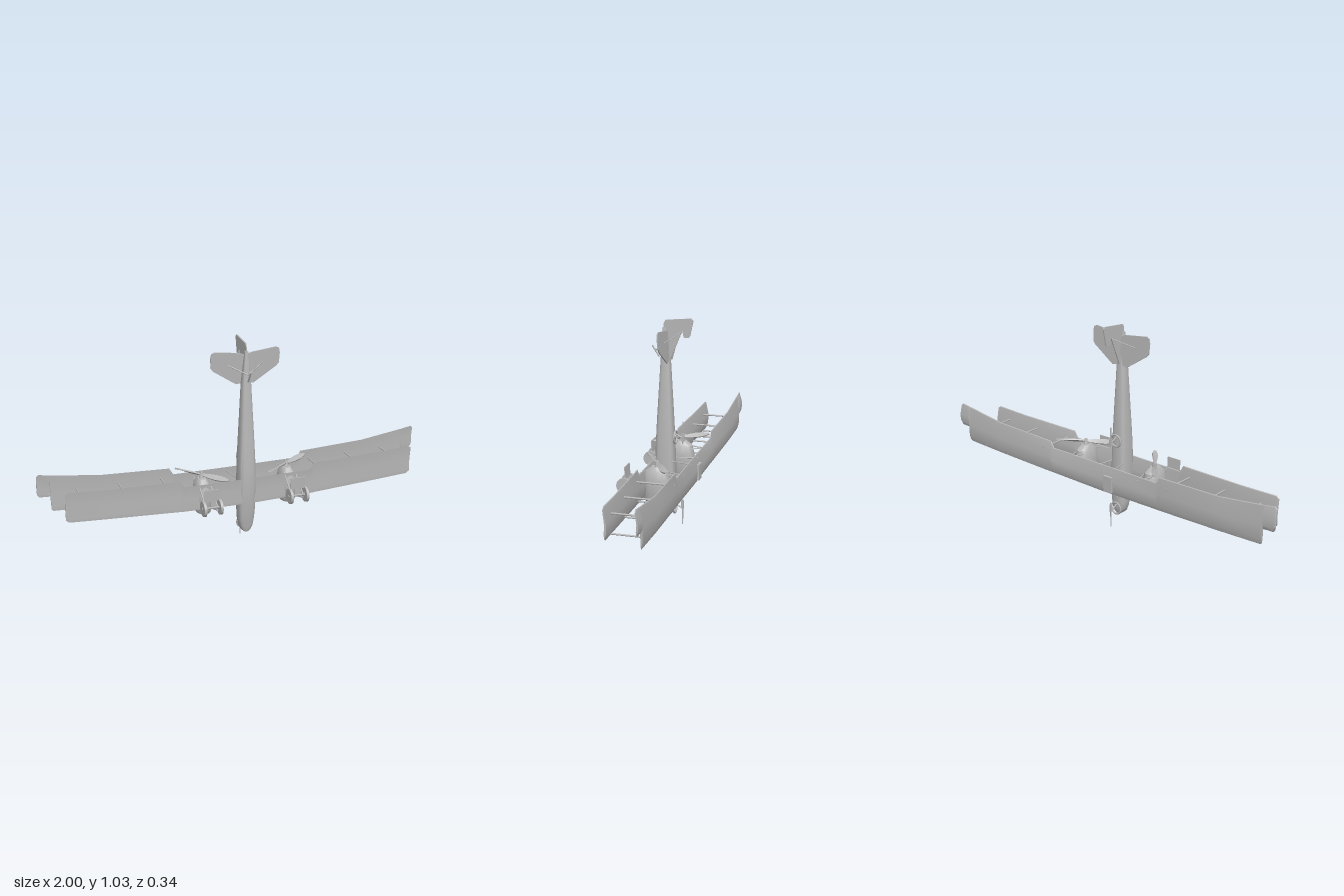
import * as THREE from 'three';
import { toCreasedNormals, mergeVertices } from 'three/addons/utils/BufferGeometryUtils.js';

const V = (x, y, z) => new THREE.Vector3(x, y, z);

// Skin a list of closed rings (clockwise seen from the end of the list), with capped ends
function loft(rings, crease = 0.6) {
  const n = rings[0].length, pos = [], idx = [];
  rings.forEach(r => r.forEach(p => pos.push(p.x, p.y, p.z)));
  for (let i = 0; i < rings.length - 1; i++) for (let j = 0; j < n; j++) {
    const a = i * n + j, b = i * n + (j + 1) % n;
    idx.push(a, a + n, b, b, a + n, b + n);
  }
  [0, rings.length - 1].forEach((i, end) => {
    const c = rings[i].reduce((s, p) => s.add(p), V(0, 0, 0)).divideScalar(n);
    const ci = pos.length / 3;
    pos.push(c.x, c.y, c.z);
    for (let j = 0; j < n; j++) {
      const a = i * n + j, b = i * n + (j + 1) % n;
      if (end) idx.push(ci, b, a); else idx.push(ci, a, b);
    }
  });
  const g = new THREE.BufferGeometry();
  g.setAttribute('position', new THREE.Float32BufferAttribute(pos, 3));
  g.setIndex(idx);
  return toCreasedNormals(g, crease);
}

// Body along y from sections [y, halfWidth, zBelly, zBack]; power below 1 squares the section
function body(sections, power, n = 20) {
  const s = (v) => Math.sign(v) * Math.abs(v) ** power;
  return loft(sections.map(([y, w, z0, z1]) => Array.from({ length: n }, (_, j) => {
    const t = j / n * Math.PI * 2;
    return V(w * s(Math.cos(t)), y, (z0 + z1) / 2 + (z0 - z1) / 2 * s(Math.sin(t)));
  })));
}

// Full-span wing from half-span ribs [x, yLeading, yTrailing, z]
function wing(ribs) {
  const foil = [[0, 0], [0.12, 0.002], [0.5, -0.001], [1, 0.007], [0.98, 0.004], [0.5, -0.009], [0.15, -0.008]];
  const all = [...ribs].reverse().map(([x, ...r]) => [-x, ...r]).concat(ribs);
  return loft(all.map(([x, a, b, z]) => foil.map(([u, h]) => V(x, a + (b - a) * u, z + h))), 0.5);
}

// Thin plate cut from an outline
function plate(points, t) {
  const shape = new THREE.Shape(points.map(p => new THREE.Vector2(...p)));
  return new THREE.ExtrudeGeometry(shape, { depth: t, bevelEnabled: false }).translate(0, 0, -t / 2);
}

export function createModel() {
  const root = new THREE.Group();
  const grey = new THREE.MeshStandardMaterial({ color: 0xb8b8b8 });
  grey.name = 'plain grey';

  const add = (name, geo, x = 0, y = 0, z = 0, parent = root) => {
    const m = new THREE.Mesh(geo, grey);
    m.name = name;
    m.position.set(x, y, z);
    parent.add(m);
    return m;
  };
  const strut = (name, a, b, r = 0.003) => {
    const p = V(...a), q = V(...b), d = q.clone().sub(p);
    const m = add(name, new THREE.CylinderGeometry(r, r, d.length(), 6));
    m.position.copy(p.add(q).multiplyScalar(0.5));
    m.quaternion.setFromUnitVectors(V(0, 1, 0), d.normalize());
    return m;
  };

  // Fuselage, nose down
  add('fuselage', body([
    [0.058, 0.012, 0.011, -0.036], [0.068, 0.024, 0.014, -0.041], [0.09, 0.034, 0.018, -0.045],
    [0.13, 0.04, 0.026, -0.048], [0.19, 0.043, 0.035, -0.05], [0.31, 0.043, 0.047, -0.05],
    [0.42, 0.042, 0.044, -0.046], [0.53, 0.037, 0.039, -0.041], [0.83, 0.023, 0.022, -0.025],
    [0.99, 0.008, 0.013, -0.005]], 0.55));
  add('windscreen', new THREE.BoxGeometry(0.05, 0.006, 0.02), 0, 0.165, -0.055).rotation.x = 0.4;
  add('headFairing', new THREE.SphereGeometry(0.022, 12, 8).scale(0.9, 1, 0.8), 0, 0.195, -0.045);

  // Gun rings and guns at nose and mid fuselage
  [[0.09, 0.004, 0.13], [0.45, 0.42, 0.53]].forEach(([y, y0, y1]) => {
    add('gunRing', new THREE.TorusGeometry(0.03, 0.005, 6, 20), 0, y, -0.05);
    strut('gunMount', [0, y + 0.02, -0.045], [0, y - 0.005, -0.09], 0.004);
    strut('gunBarrel', [0, y0, -0.088], [0, y1, -0.088], 0.0035);
    add('gunBreech', new THREE.BoxGeometry(0.01, 0.04, 0.013), 0, y + (y === 0.09 ? 0.015 : 0), -0.088);
  });

  // Wings
  add('upperWing', wing([
    [0.01, 0.217, 0.355, -0.148], [0.33, 0.222, 0.355, -0.149], [0.35, 0.222, 0.388, -0.15],
    [0.7, 0.234, 0.4, -0.158], [0.925, 0.243, 0.43, -0.16], [0.935, 0.25, 0.431, -0.16],
    [0.937, 0.32, 0.432, -0.16], [0.99, 0.322, 0.44, -0.161], [1, 0.335, 0.43, -0.161]]));
  add('lowerWing', wing([
    [0.01, 0.22, 0.355, 0.034], [0.33, 0.225, 0.355, 0.03], [0.35, 0.226, 0.388, 0.029],
    [0.7, 0.24, 0.392, 0.018], [0.885, 0.248, 0.4, 0.011], [0.9, 0.26, 0.39, 0.011]]));
  add('wingTank', new THREE.BoxGeometry(0.05, 0.08, 0.012), -0.045, 0.27, -0.16);

  // Tail surfaces
  const half = [[0.01, 0.972], [0.03, 0.98], [0.155, 0.995], [0.17, 0.988], [0.175, 0.965],
    [0.172, 0.915], [0.16, 0.9], [0.045, 0.825], [0.01, 0.83]];
  const mirrored = [...half].reverse().map(([x, y]) => [-x, y]);
  const stab = add('tailplane', plate([...half, ...mirrored], 0.006).translate(0, -0.9, 0), 0, 0.9, -0.014);
  stab.rotation.x = 0.07;
  add('fin', plate([[-0.018, 0.82], [-0.005, 0.98], [-0.083, 0.976]], 0.005).rotateY(-Math.PI / 2));
  add('rudder', plate([[0.008, 0.99], [0.008, 1.01], [0, 1.026], [-0.125, 1.038], [-0.137, 1.028],
    [-0.12, 0.95], [-0.114, 0.945], [-0.09, 0.945], [-0.083, 0.976], [-0.005, 0.978]], 0.006).rotateY(-Math.PI / 2));
  strut('tailSkid', [0, 0.9, 0.065], [0, 0.845, 0.03], 0.004);
  strut('skidBrace', [0, 0.88, 0.052], [0, 0.885, 0], 0.003);

  for (const s of [-1, 1]) {
    strut('tailStrut', [0, 0.88, 0.03], [s * 0.09, 0.925, -0.012]);
    strut('finStrut', [s * 0.09, 0.93, -0.015], [0, 0.972, -0.08], 0.002);

    // Struts between the wings
    for (const [x, zu, zl] of [[0.395, -0.155, 0.025], [0.605, -0.16, 0.019], [0.81, -0.163, 0.013]])
      for (const y of [0.25, 0.343]) strut('wingStrut', [s * x, y, zu], [s * x, y, zl], 0.0045);
    for (const y of [0.24, 0.335]) {
      strut('cabaneStrut', [s * 0.035, y, -0.04], [s * 0.055, y, -0.15]);
      strut('nacelleStrut', [s * 0.195, y, -0.07], [s * 0.22, y, -0.152]);
      strut('nacelleStrut', [s * 0.245, y, -0.07], [s * 0.22, y, -0.152]);
    }

    // Engine nacelle, radiator ring and pusher propeller
    const c = s * 0.222;
    add('nacelle', body([[0.2, 0.03, 0.025, -0.072], [0.197, 0.035, 0.033, -0.08], [0.215, 0.04, 0.043, -0.087],
      [0.3, 0.04, 0.046, -0.088], [0.345, 0.033, 0.035, -0.078], [0.368, 0.02, 0.005, -0.045]], 0.75), c);
    add('spinner', new THREE.CylinderGeometry(0.006, 0.014, 0.035, 12), c, 0.38, -0.023);
    const blade = new THREE.BoxGeometry(0.31, 0.007, 0.027, 16, 1, 2), p = blade.attributes.position;
    for (let i = 0; i < p.count; i++) {
      const u = p.getX(i) / 0.155, a = Math.sign(u) * (0.9 - 0.6 * Math.abs(u));
      const w = (0.35 + 1.6 * Math.abs(u) * (1 - Math.abs(u) ** 3)) * p.getZ(i), y = p.getY(i);
      p.setXYZ(i, p.getX(i), y * Math.cos(a) - w * Math.sin(a), y * Math.sin(a) + w * Math.cos(a));
    }
    add('propeller', toCreasedNormals(mergeVertices(blade), 0.6), c, 0.384, -0.022).rotation.y = s < 0 ? -0.9 : 0.55;

    // Twin-wheel undercarriage with a mudguard plate
    for (const k of [-1, 1]) {
      const wx = c + k * 0.041;
      add('wheel', new THREE.CylinderGeometry(0.038, 0.038, 0.012, 28).rotateZ(Math.PI / 2), wx, 0.27, 0.129);
      add('wheelHub', new THREE.CylinderGeometry(0.008, 0.008, 0.018, 10).rotateZ(Math.PI / 2), wx, 0.27, 0.129);
      const gx = c + k * 0.029;
      strut('gearStrut', [gx, 0.27, 0.129], [gx, 0.345, 0.03], 0.004);
      strut('gearStrut', [gx, 0.255, 0.129], [gx, 0.226, 0.035], 0.004);
    }
    strut('axle', [c - 0.041, 0.27, 0.129], [c + 0.041, 0.27, 0.129], 0.005);
    add('mudguard', new THREE.BoxGeometry(0.076, 0.06, 0.004), c, 0.332, 0.126).rotation.x = 0.06;
  }
  return root;
}
